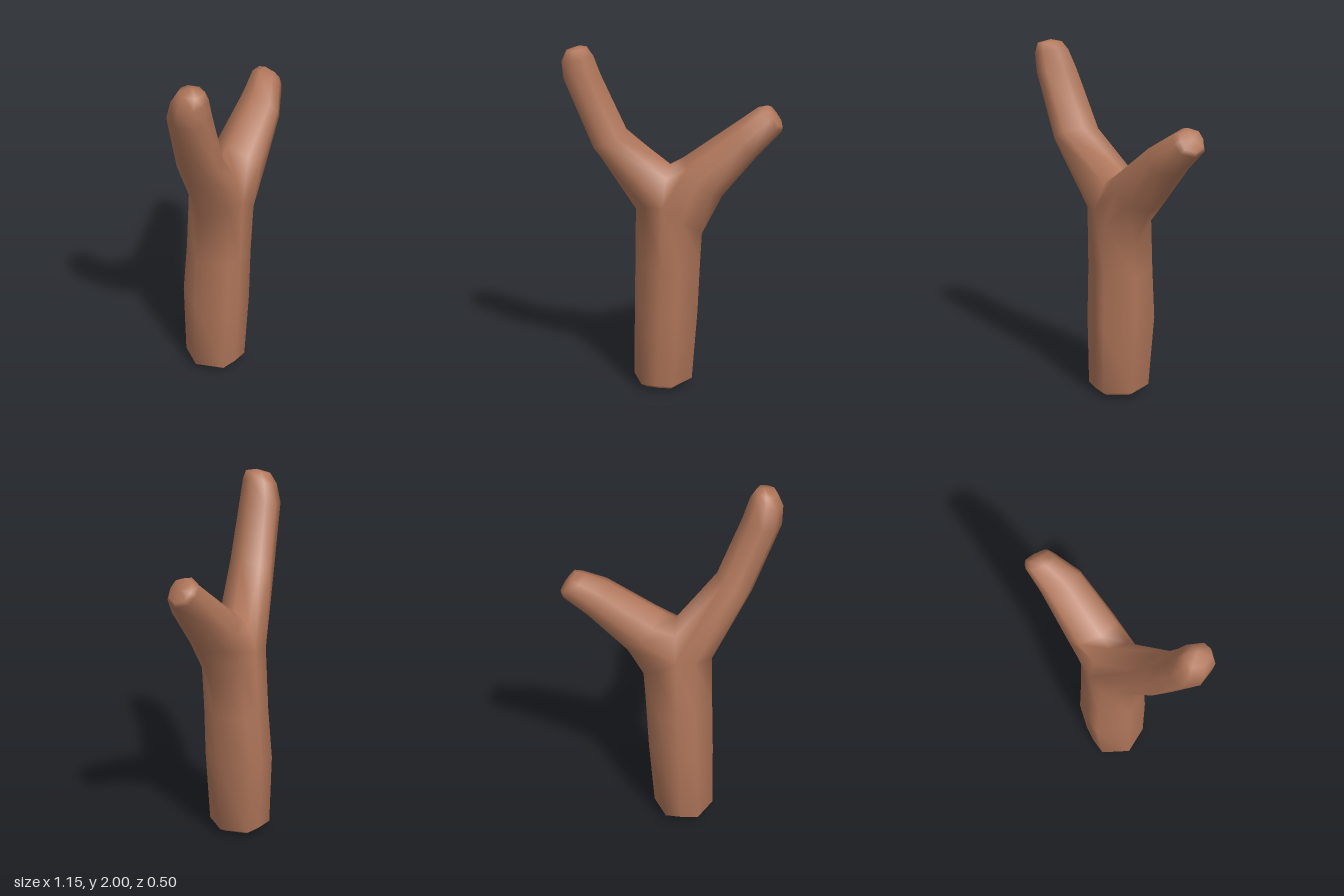
import * as THREE from 'three';

const SIDES = 8;

// Eight-sided cross-section spanning two opposite points (+x side, -x side)
// in the xy plane, with its own depth centre, half depth and corner fullness.
function section([ax, ay], [bx, by], z, halfDepth, fullX = 0.65, fullZ = 0.82, lift = 0) {
  const u = [1, fullX, 0, -fullX, -1, -fullX, 0, fullX];
  const w = [0, fullZ, 1, fullZ, 0, -fullZ, -1, -fullZ];
  return u.map((s, k) => [
    (ax + bx) / 2 + s * (ax - bx) / 2,
    (ay + by) / 2 + s * (ay - by) / 2 + lift * (1 - s * s),
    z + w[k] * halfDepth,
  ]);
}

export function createModel() {
  const positions = [], index = [];
  const vertex = (p) => positions.push(...p) / 3 - 1;
  const ring = (points) => points.map(vertex);

  // Join each ring of vertex numbers to the next one
  const skin = (rings) => {
    for (let r = 0; r + 1 < rings.length; r++) {
      for (let k = 0; k < SIDES; k++) {
        const n = (k + 1) % SIDES, lo = rings[r], up = rings[r + 1];
        index.push(lo[k], up[k], up[n], lo[k], up[n], lo[n]);
      }
    }
  };
  const cap = (loop, centre, upward) => {
    const c = vertex(centre);
    loop.forEach((v, k) => {
      const n = loop[(k + 1) % SIDES];
      if (upward) index.push(v, c, n);
      else index.push(v, n, c);
    });
  };

  // Trunk, with a bevelled foot and a lifted ring where it forks
  const trunk = [
    section([0.05, 0.008], [-0.20, 0.008], -0.055, 0.12, 0.55, 0.95),
    section([0.095, 0.035], [-0.248, 0.035], -0.055, 0.153, 0.55, 0.95),
    section([0.125, 0.45], [-0.243, 0.45], -0.06, 0.168, 0.53, 0.98),
    section([0.14, 0.75], [-0.234, 0.75], -0.05, 0.16, 0.53, 0.95),
    section([0.152, 0.93], [-0.226, 1.05], -0.038, 0.157, 0.55, 0.93, 0.12),
  ].map(ring);
  skin(trunk);
  cap(trunk[0], [-0.075, 0, -0.055], false);

  // Saddle running over the crotch from front to back, shared by both arms
  const [s1, s2, s3] = ring([[-0.03, 1.26, 0.06], [-0.03, 1.318, -0.05], [-0.03, 1.26, -0.155]]);
  const f = trunk[trunk.length - 1];

  // Short arm, leaning back
  const shortArm = [
    [f[0], f[1], f[2], s1, s2, s3, f[6], f[7]],
    ...[
      section([0.26, 1.15], [0.045, 1.36], -0.065, 0.145),
      section([0.45, 1.385], [0.32, 1.558], -0.11, 0.12),
      section([0.568, 1.51], [0.435, 1.638], -0.163, 0.087),
      section([0.57, 1.535], [0.485, 1.65], -0.166, 0.068),
    ].map(ring),
  ];
  skin(shortArm);
  cap(shortArm[4], [0.535, 1.6, -0.166], true);

  // Long arm, leaning forward
  const longArm = [
    [s2, s1, f[2], f[3], f[4], f[5], f[6], s3],
    ...[
      section([-0.24, 1.53], [-0.432, 1.43], 0.08, 0.13),
      section([-0.366, 1.84], [-0.575, 1.81], 0.135, 0.113),
      section([-0.402, 1.95], [-0.577, 1.91], 0.155, 0.093),
      section([-0.43, 1.99], [-0.545, 1.975], 0.167, 0.07),
    ].map(ring),
  ];
  skin(longArm);
  cap(longArm[4], [-0.475, 2, 0.165], true);

  const geometry = new THREE.BufferGeometry();
  geometry.setAttribute('position', new THREE.Float32BufferAttribute(positions, 3));
  geometry.setIndex(index);
  geometry.computeVertexNormals();

  const bark = new THREE.MeshStandardMaterial({ color: 0xb0765a });
  bark.name = 'bark brown';
  const branch = new THREE.Mesh(geometry, bark);
  branch.name = 'forkedBranch';

  const model = new THREE.Group();
  model.name = 'forkedStick';
  model.add(branch);
  return model;
}
